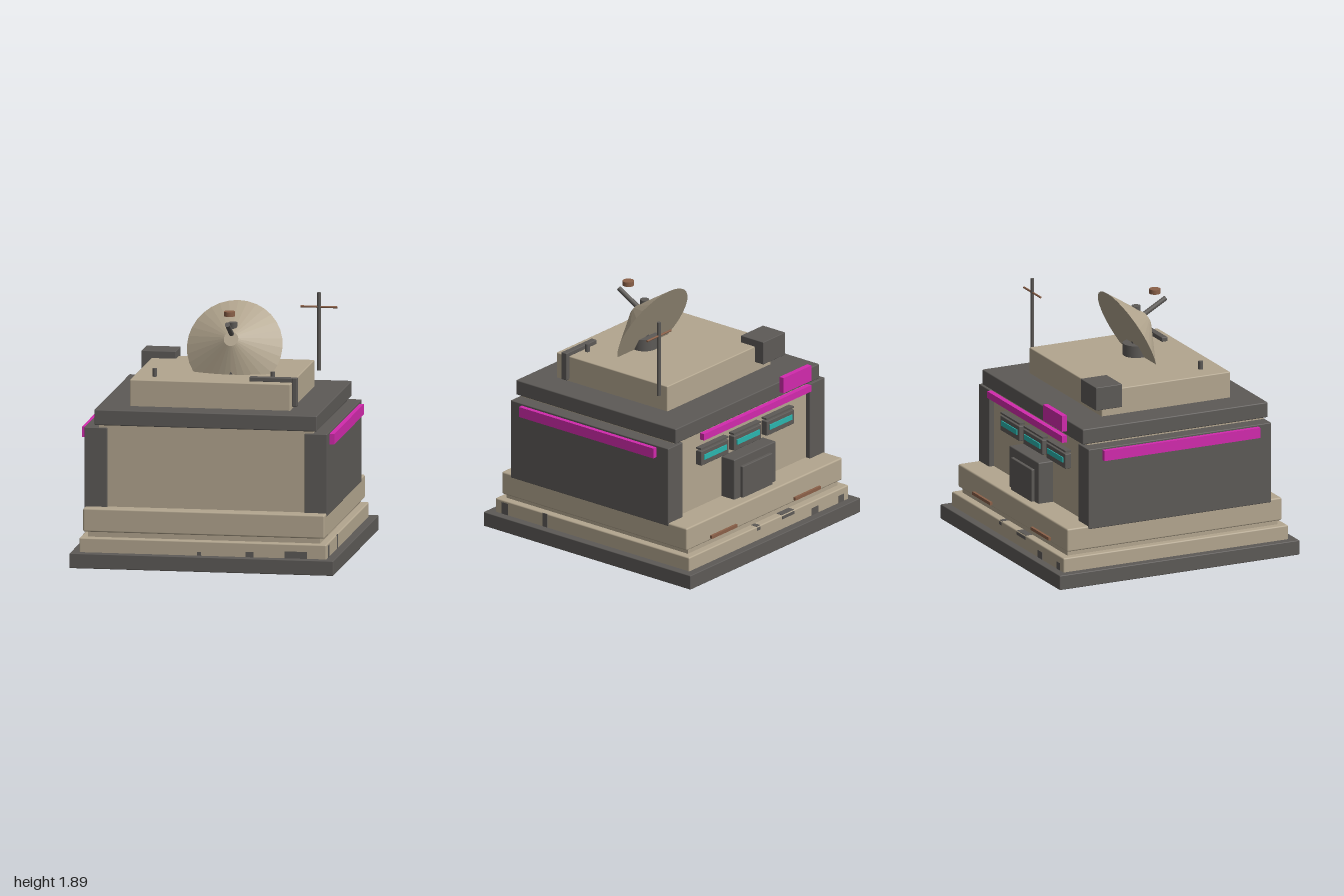
import * as THREE from 'three';
import { RoundedBoxGeometry } from 'three/addons/geometries/RoundedBoxGeometry.js';

const mat = (name, color) => {
  const m = new THREE.MeshStandardMaterial({ color });
  m.name = name;
  return m;
};

export function createModel() {
  const model = new THREE.Group();
  model.name = 'bunker';
  const sand = mat('sand', 0xb3a68f);
  const dark = mat('dark grey', 0x5d5a57);
  const pink = mat('neon pink', 0xd22aad);
  const cyan = mat('cyan glass', 0x2bb5ae);
  const rust = mat('rust', 0x8a6048);

  const add = (name, geometry, material, x = 0, y = 0, z = 0) => {
    const mesh = new THREE.Mesh(geometry, material);
    mesh.name = name;
    mesh.position.set(x, y, z);
    model.add(mesh);
    return mesh;
  };
  // Box given by its limits; r is the edge rounding
  const box = (name, material, [x0, x1], [y0, y1], [z0, z1], r = 0) => {
    const s = [x1 - x0, y1 - y0, z1 - z0];
    const g = r ? new RoundedBoxGeometry(...s, 2, r) : new THREE.BoxGeometry(...s);
    return add(name, g, material, (x0 + x1) / 2, (y0 + y1) / 2, (z0 + z1) / 2);
  };
  // Round rod between two points
  const rod = (name, material, a, b, r, sides = 16) => {
    const p = new THREE.Vector3(...a), q = new THREE.Vector3(...b);
    const mesh = add(name, new THREE.CylinderGeometry(r, r, p.distanceTo(q), sides), material);
    mesh.position.copy(p).add(q).multiplyScalar(0.5);
    mesh.quaternion.setFromUnitVectors(new THREE.Vector3(0, 1, 0), q.sub(p).normalize());
    return mesh;
  };

  // Stepped base
  box('basePlate', dark, [-1, 1], [0, 0.113], [-1, 1], 0.006);
  box('lowerTier', sand, [-0.937, 0.937], [0.1, 0.222], [-0.937, 0.937], 0.01);
  box('tierNeck', sand, [-0.88, 0.88], [0.2, 0.28], [-0.877, 0.877]);
  box('upperTier', sand, [-0.915, 0.915], [0.26, 0.438], [-0.895, 0.895], 0.012);

  // Main body with thick side walls
  box('body', sand, [-0.76, 0.76], [0.42, 1.05], [-0.68, 0.785]);
  box('bodyTop', sand, [-0.81, 0.81], [1.03, 1.065], [-0.68, 0.795]);
  for (const s of [-1, 1]) {
    const limits = (a, b) => (s > 0 ? [a, b] : [-b, -a]);
    box('sideWall', dark, limits(0.747, 0.92), [0.415, 1.038], [-0.72, 0.805], 0.006);
    box('sideLight', pink, limits(0.915, 0.955), [0.943, 1.023], [-0.605, 0.695]);
    // Rusty vents on the rear of the base
    box('rearVent', rust, limits(0.34, 0.64), [0.276, 0.3], [-0.915, -0.89]);
    // Small roof posts
    rod('roofPost', dark, [s * 0.447, 1.37, 0.45], [s * 0.447, 1.437, 0.45], 0.018);
  }

  // Roof
  box('roofSlab', dark, [-0.843, 0.843], [1.057, 1.175], [-0.73, 0.815], 0.008);
  box('roofBlock', sand, [-0.608, 0.608], [1.16, 1.375], [-0.455, 0.618], 0.008);
  box('roofUnit', dark, [-0.68, -0.42], [1.25, 1.43], [-0.538, -0.32], 0.005);
  box('pipeTop', dark, [0.285, 0.645], [1.372, 1.408], [0.492, 0.54], 0.006);
  box('pipeDown', dark, [0.608, 0.645], [1.19, 1.408], [0.49, 0.543], 0.006);

  // Rear sign lights
  box('rearLight', pink, [-0.655, 0.605], [1.03, 1.082], [-0.808, -0.768]);
  box('rearSign', pink, [-0.655, -0.33], [1.117, 1.24], [-0.808, -0.768]);

  // Rear doorway
  box('doorFrame', dark, [-0.247, 0.243], [0.43, 0.757], [-0.803, -0.67], 0.008);
  box('door', dark, [-0.178, 0.172], [0.43, 0.688], [-0.827, -0.79], 0.006);

  // Rear windows
  for (const x of [-0.388, -0.003, 0.382]) {
    box('windowFrame', dark, [x - 0.16, x + 0.16], [0.785, 0.9], [-0.73, -0.67], 0.005);
    box('windowGlass', cyan, [x - 0.132, x + 0.132], [0.828, 0.868], [-0.738, -0.729]);
    box('windowLintel', dark, [x - 0.16, x + 0.16], [0.912, 0.926], [-0.728, -0.67]);
  }

  // Dish: a faceted cone facing up and forward
  const cone = new THREE.CylinderGeometry(0.055, 0.362, 0.185, 32).toNonIndexed();
  cone.computeVertexNormals();
  add('dish', cone, sand, 0.1, 1.602, 0.19).rotation.x = 1.1;
  rod('dishFoot', dark, [0.1, 1.37, 0.183], [0.1, 1.466, 0.183], 0.1, 24);
  rod('dishMast', dark, [0.1, 1.37, 0.183], [0.1, 1.755, 0.183], 0.035);
  rod('feedArm', dark, [0.1, 1.65, 0.2], [0.1, 1.78, 0.43], 0.019);
  rod('feedDisc', rust, [0.1, 1.83, 0.34], [0.1, 1.865, 0.34], 0.043, 20);

  // Aerial
  rod('aerialPole', dark, [0.65, 1.305, -0.408], [0.65, 1.895, -0.408], 0.014);
  rod('aerialBar', rust, [0.51, 1.786, -0.408], [0.79, 1.786, -0.408], 0.008, 10);

  // Worn patches on the lower tier: front, left side, rear
  for (const [x0, x1, y1] of [[0.62, 0.79, 0.165], [0.325, 0.385, 0.153], [-0.045, -0.015, 0.14]])
    box('frontPatch', dark, [x0, x1], [0.11, y1], [0.934, 0.939]);
  for (const [z0, z1, y1] of [[0.815, 0.875, 0.205], [0.435, 0.48, 0.22]])
    box('sidePatch', dark, [0.934, 0.939], [0.11, y1], [z0, z1]);
  for (const [x0, x1] of [[-0.58, -0.5], [-0.88, -0.82]])
    box('rearPatch', dark, [x0, x1], [0.11, 0.17], [-0.939, -0.934]);
  for (const [x0, x1] of [[-0.3, -0.155], [0.1, 0.142]]) {
    box('rearTopPatch', dark, [x0, x1], [0.219, 0.224], [-0.932, -0.88]);
    box('rearEdgePatch', dark, [x0, x1], [0.19, 0.214], [-0.939, -0.934]);
  }

  return model;
}
